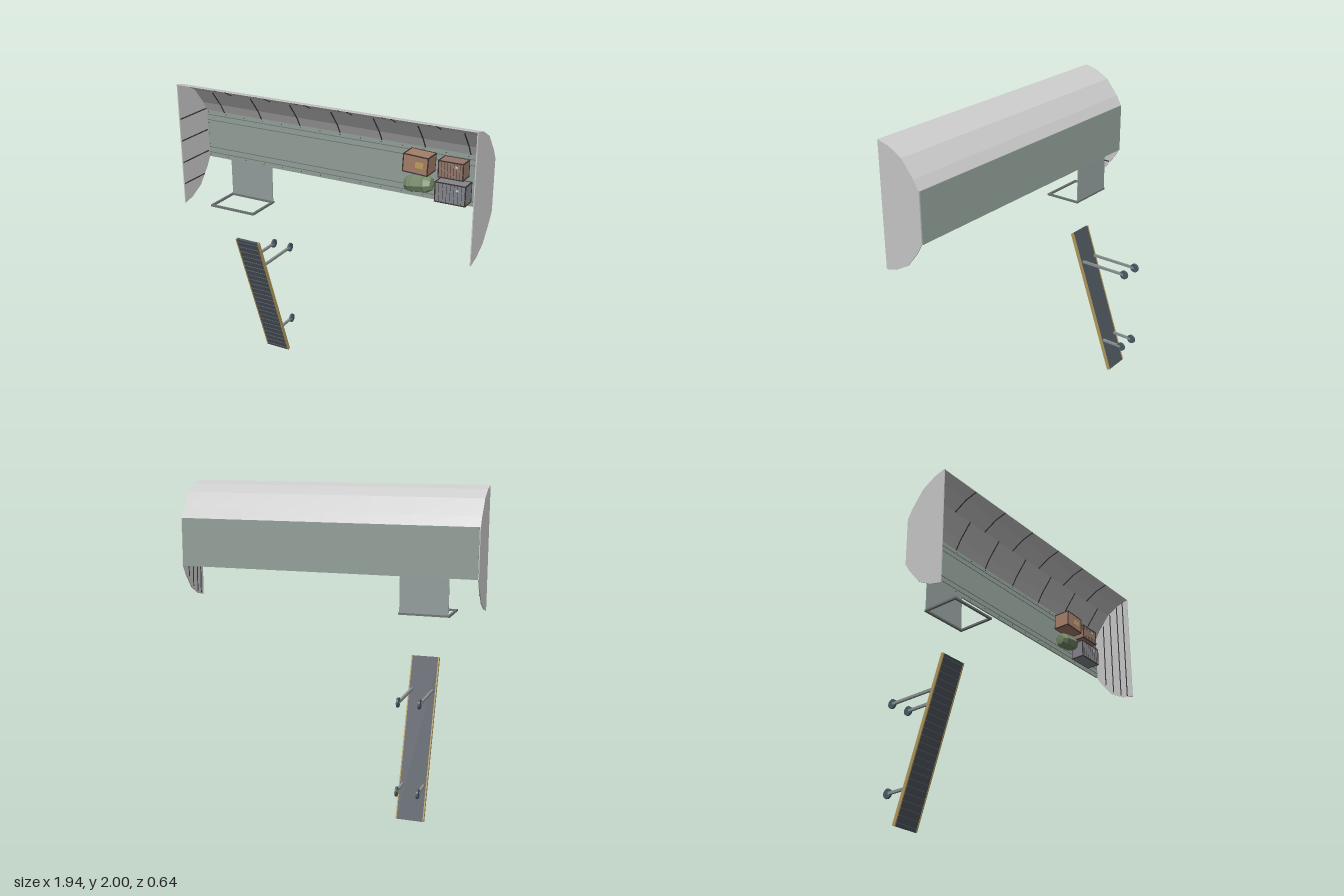
import * as THREE from 'three';

const mat = (color) => new THREE.MeshStandardMaterial({ color, flatShading: true, side: THREE.DoubleSide });
const M = {
  grey: mat(0xcccccc), greyB: mat(0xc5c5c5), greyC: mat(0xd2d2d0),
  seam: mat(0x3a3c3e), wall: mat(0x93a199), plate: mat(0x939d9d), rail: mat(0x6c7472),
  deck: mat(0x4a525a), tread: mat(0x626a70), gold: mat(0xb39a5c), strut: mat(0x8c9294),
  wheel: mat(0x4c5b66), edge: mat(0x3d3633),
  brown: mat(0xa57d68), tan: mat(0x94786a), violet: mat(0x84868f), green: mat(0x768a68), label: mat(0xbfa05c),
};

function add(parent, name, geo, material, x = 0, y = 0, z = 0) {
  const m = new THREE.Mesh(geo, material);
  m.name = name;
  m.position.set(x, y, z);
  parent.add(m);
  return m;
}
const box = (parent, name, material, w, h, d, x, y, z) =>
  add(parent, name, new THREE.BoxGeometry(w, h, d), material, x, y, z);

// Thin slab following one straight piece of the (z, y) profile
function slab(parent, name, material, a, b, x0, x1, thick, inset = 0) {
  const dz = b[0] - a[0], dy = b[1] - a[1], len = Math.hypot(dz, dy);
  const m = box(parent, name, material, x1 - x0, thick, len, (x0 + x1) / 2,
    (a[1] + b[1]) / 2 - (inset * dz) / len, (a[0] + b[0]) / 2 + (inset * dy) / len);
  m.rotation.x = -Math.atan2(dy, dz);
}

// Upper curve of the canopy as (z, y); the lower curve mirrors it about y = 1.615
const ARC = [[0.035, 1.77], [0.07, 1.83], [0.15, 1.93], [0.24, 1.98], [0.32, 2.0]];
const HALF = 0.968;

function canopy() {
  const g = new THREE.Group();
  g.name = 'canopy';

  // Curved roof of staggered panels, with seams on the inside
  const step = 0.1383;
  for (let r = 0; r < 4; r++) {
    const a = ARC[r], b = ARC[r + 1];
    const cuts = [-HALF];
    for (let k = 1; k < 14; k++) if ((k + (r >> 1)) % 2) cuts.push(-HALF + k * step);
    cuts.push(HALF);
    for (let i = 0; i + 1 < cuts.length; i++) {
      const tone = [M.grey, M.greyB, M.greyC][(i * 2 + r * r) % 3];
      slab(g, 'roofPanel', tone, a, b, cuts[i], cuts[i + 1], 0.005, 0.0025);
      if (i) slab(g, 'roofSeam', M.seam, a, b, cuts[i] - 0.003, cuts[i] + 0.003, 0.006, 0.006);
    }
  }

  // End plates
  const outline = [...ARC, ...ARC.map(([z, y]) => [z, 3.23 - y]).reverse()];
  const shape = new THREE.Shape(outline.map(([z, y]) => new THREE.Vector2(-z, y)));
  for (const s of [-1, 1]) {
    const geo = new THREE.ExtrudeGeometry(shape, { depth: 0.006, bevelEnabled: false });
    geo.translate(0, 0, -0.003).rotateY(Math.PI / 2);
    add(g, s > 0 ? 'leftEndPlate' : 'rightEndPlate', geo, M.grey, s * HALF);
  }
  // Seams inside the end plates
  for (const y of [1.36, 1.5, 1.64, 1.78]) {
    const z0 = y < 1.46 ? 0.11 : 0.05;
    box(g, 'rightEndSeam', M.seam, 0.004, 0.007, 0.315 - z0, -HALF + 0.005, y, (z0 + 0.315) / 2);
  }
  for (const [z, h] of [[0.11, 0.47], [0.17, 0.62], [0.23, 0.70], [0.28, 0.74]])
    box(g, 'leftEndSeam', M.seam, 0.004, h, 0.006, HALF - 0.005, 1.615, z);
  return g;
}

function backWall() {
  const g = new THREE.Group();
  g.name = 'backWall';
  box(g, 'wallPanel', M.wall, 1.93, 0.31, 0.01, 0, 1.615, 0.035);
  for (const y of [1.74, 1.705, 1.525, 1.49]) {
    box(g, 'wallRail', M.rail, 1.92, 0.004, 0.003, 0, y, 0.041);
  }
  // Rivets along the rails and up both ends
  const rivet = new THREE.CylinderGeometry(0.003, 0.003, 0.004, 6).rotateX(Math.PI / 2);
  for (const y of [1.755, 1.475])
    for (let i = 0; i <= 14; i++) add(g, 'rivet', rivet, M.seam, -0.955 + i * 0.1364, y, 0.041);
  for (const x of [-0.955, 0.955])
    for (const y of [1.545, 1.615, 1.685]) add(g, 'rivet', rivet, M.seam, x, y, 0.041);
  return g;
}

// Hanging plate with an open rectangular frame at its foot
function landing() {
  const g = new THREE.Group();
  g.name = 'landing';
  box(g, 'dropPlate', M.plate, 0.305, 0.24, 0.006, -0.642, 1.345, 0.038);
  for (const z of [0.041, 0.27]) box(g, 'frameBar', M.rail, 0.32, 0.012, 0.014, -0.642, 1.229, z);
  for (const x of [-0.795, -0.489]) box(g, 'frameSide', M.rail, 0.014, 0.012, 0.23, x, 1.229, 0.155);
  return g;
}

function ramp() {
  const g = new THREE.Group();
  g.name = 'ramp';
  const deck = new THREE.Group();
  deck.name = 'rampDeck';
  deck.position.set(-0.642, 0.4796, -0.044);
  deck.rotation.x = 0.333;
  g.add(deck);
  const L = 1.008;
  box(deck, 'deckPlate', M.deck, 0.165, L, 0.016, 0, 0, 0);
  for (const s of [-1, 1]) box(deck, 'sideRail', M.gold, 0.007, L, 0.022, s * 0.084, 0, 0);
  for (let i = 0; i < 24; i++) box(deck, 'tread', M.tread, 0.155, 0.004, 0.003, 0, -0.483 + i * 0.042, 0.009);

  // Struts ending in wheels
  const disc = new THREE.CylinderGeometry(0.03, 0.03, 0.012, 16).rotateZ(Math.PI / 2);
  for (const x of [-0.707, -0.577])
    for (const [y, z] of [[0.762, 0.04], [0.21, -0.145]]) {
      box(g, 'strut', M.strut, 0.014, 0.016, z + 0.285, x, y, (z - 0.285) / 2);
      add(g, 'wheel', disc, M.wheel, x, y, -0.29);
    }
  return g;
}

// Slatted crate with dark edge bars
function crate(name, color, w, h, d, x, y, tilt, slats) {
  const g = new THREE.Group();
  g.name = name;
  g.position.set(x, y, 0.04 + d / 2);
  g.rotation.z = tilt;
  box(g, 'crateBody', color, w, h, d, 0, 0, 0);
  const t = 0.006;
  for (const a of [-1, 1])
    for (const b of [-1, 1]) {
      box(g, 'edgeX', M.edge, w + t, t, t, 0, a * h / 2, b * d / 2);
      box(g, 'edgeY', M.edge, t, h + t, t, a * w / 2, 0, b * d / 2);
      box(g, 'edgeZ', M.edge, t, t, d + t, a * w / 2, b * h / 2, 0);
    }
  for (let i = 1; i < slats; i++)
    box(g, 'slatGap', M.edge, 0.002, h, 0.002, -w / 2 + (i * w) / slats, 0, d / 2);
  return g;
}

function cargo() {
  const g = new THREE.Group();
  g.name = 'cargo';
  const brown = crate('brownCrate', M.brown, 0.152, 0.104, 0.11, 0.543, 1.693, -0.05, 0);
  box(brown, 'label', M.label, 0.05, 0.035, 0.003, 0.025, 0, 0.056);
  g.add(brown, crate('smallCrate', M.tan, 0.148, 0.096, 0.09, 0.75, 1.687, 0, 8),
    crate('largeCrate', M.violet, 0.184, 0.116, 0.09, 0.752, 1.548, 0, 8));
  box(g, 'smallTag', M.greyC, 0.016, 0.012, 0.003, 0.785, 1.712, 0.131);
  box(g, 'largeTag', M.greyC, 0.016, 0.012, 0.003, 0.795, 1.575, 0.131);

  // Faceted sack with two straps
  const sack = new THREE.Group();
  sack.name = 'sack';
  sack.position.set(0.541, 1.558, 0.085);
  sack.rotation.z = 0.14;
  const body = [[0, -0.088], [0.034, -0.086], [0.05, -0.055], [0.052, 0.045], [0.036, 0.082], [0, 0.086]];
  const geo = new THREE.LatheGeometry(body.map((p) => new THREE.Vector2(...p)), 8).rotateZ(-Math.PI / 2);
  add(sack, 'sackBody', geo, M.green);
  for (const x of [-0.04, 0.035])
    add(sack, 'strap', new THREE.CylinderGeometry(0.053, 0.053, 0.006, 8, 1, true).rotateZ(-Math.PI / 2), M.rail, x);
  g.add(sack);
  return g;
}

export function createModel() {
  const model = new THREE.Group();
  model.name = 'canopyWithRamp';
  model.add(canopy(), backWall(), landing(), ramp(), cargo());
  return model;
}
